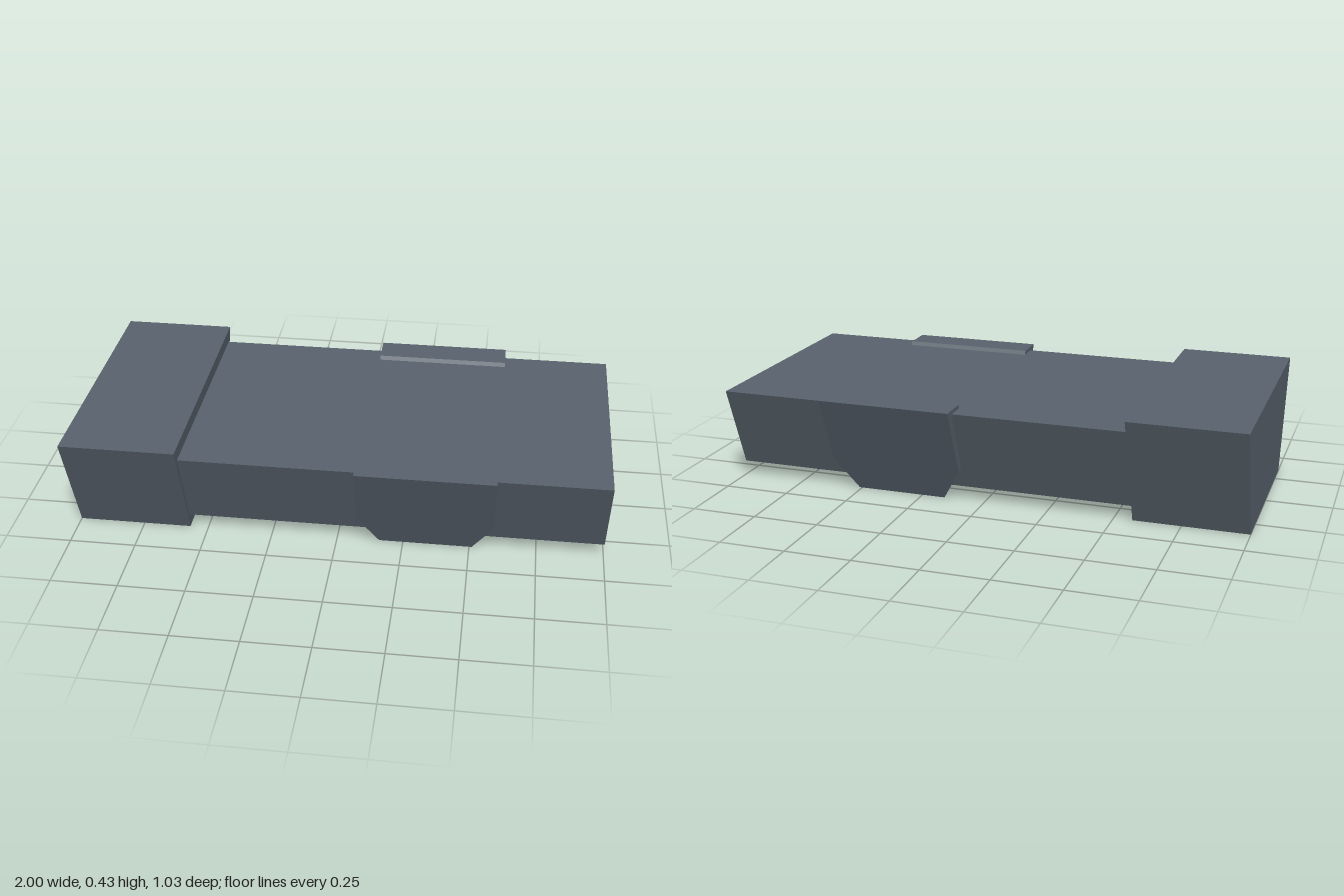
import * as THREE from 'three';

const hullMat = new THREE.MeshStandardMaterial({ color: 0x5a646e, flatShading: true, side: THREE.DoubleSide });
const pipeMat = new THREE.MeshStandardMaterial({ color: 0x3a3020, side: THREE.DoubleSide });

// Skins a row of matching cross-sections; closed sections also get end caps
function loft(name, sections, closed) {
  const pos = [];
  const tri = (a, b, c) => pos.push(...a, ...b, ...c);
  const n = sections[0].length;
  for (let i = 0; i + 1 < sections.length; i++) {
    const s = sections[i], t = sections[i + 1];
    for (let j = 0; j < (closed ? n : n - 1); j++) {
      const k = (j + 1) % n;
      tri(s[j], s[k], t[k]);
      tri(s[j], t[k], t[j]);
    }
  }
  if (closed) {
    const first = sections[0], last = sections[sections.length - 1];
    for (let j = 1; j + 1 < n; j++) {
      tri(first[0], first[j + 1], first[j]);
      tri(last[0], last[j], last[j + 1]);
    }
  }
  const geo = new THREE.BufferGeometry();
  geo.setAttribute('position', new THREE.Float32BufferAttribute(pos, 3));
  geo.computeVertexNormals();
  const mesh = new THREE.Mesh(geo, hullMat);
  mesh.name = name;
  return mesh;
}

// Turns half a [z, y] profile (bottom to top) into a mirrored section at x
function section(x, half) {
  const back = half.map(([z, y]) => [x, y, -z]);
  const front = half.map(([z, y]) => [x, y, z]).reverse();
  return [...back, ...front];
}

export function createModel() {
  const model = new THREE.Group();
  model.name = 'launcherHousing';

  // Open channel: roof, sloped walls and inward lips that widen toward the end block
  const channel = (x, lipTop, lipBottom) =>
    section(x, [[lipTop, 0.155], [lipBottom, 0.055], [0.35, 0.055], [0.47, 0.375]]);
  model.add(loft('channelBody', [
    channel(-0.57, 0.18, 0.195),
    channel(-0.29, 0.18, 0.195),
    channel(-0.15, 0.23, 0.253),
    channel(1, 0.23, 0.253),
  ], false));

  // Solid end block
  const block = [[0.35, 0], [0.51, 0.425]];
  model.add(loft('endBlock', [section(-1, block), section(-0.57, block)], true));

  // Sloped side pads with chamfered lower corners
  const padSection = (yTop, yMid, yLow, zTop, zLow) => {
    const p = (x, y) => [x, y, zLow + (zTop - zLow) * (y - yLow) / (yTop - yLow)];
    return [p(-0.255, yTop), p(-0.255, yMid), p(-0.175, yLow),
      p(0.175, yLow), p(0.255, yMid), p(0.255, yTop)];
  };
  for (const side of [1, -1]) {
    const pad = loft(side > 0 ? 'frontPad' : 'backPad', [
      padSection(0.39, 0.18, 0.055, 0.40, 0.235),
      padSection(0.39, 0.13, 0, 0.515, 0.35),
    ], true);
    pad.position.x = 0.335;
    if (side < 0) pad.rotation.y = Math.PI;
    model.add(pad);
  }

  // Pair of open pipes inside the channel
  const pipeGeo = new THREE.CylinderGeometry(0.1, 0.1, 1.56, 16, 1, true).rotateZ(Math.PI / 2);
  for (const side of [1, -1]) {
    const pipe = new THREE.Mesh(pipeGeo, pipeMat);
    pipe.name = side > 0 ? 'frontPipe' : 'backPipe';
    pipe.position.set(0.21, 0.245, side * 0.135);
    model.add(pipe);
  }
  return model;
}
